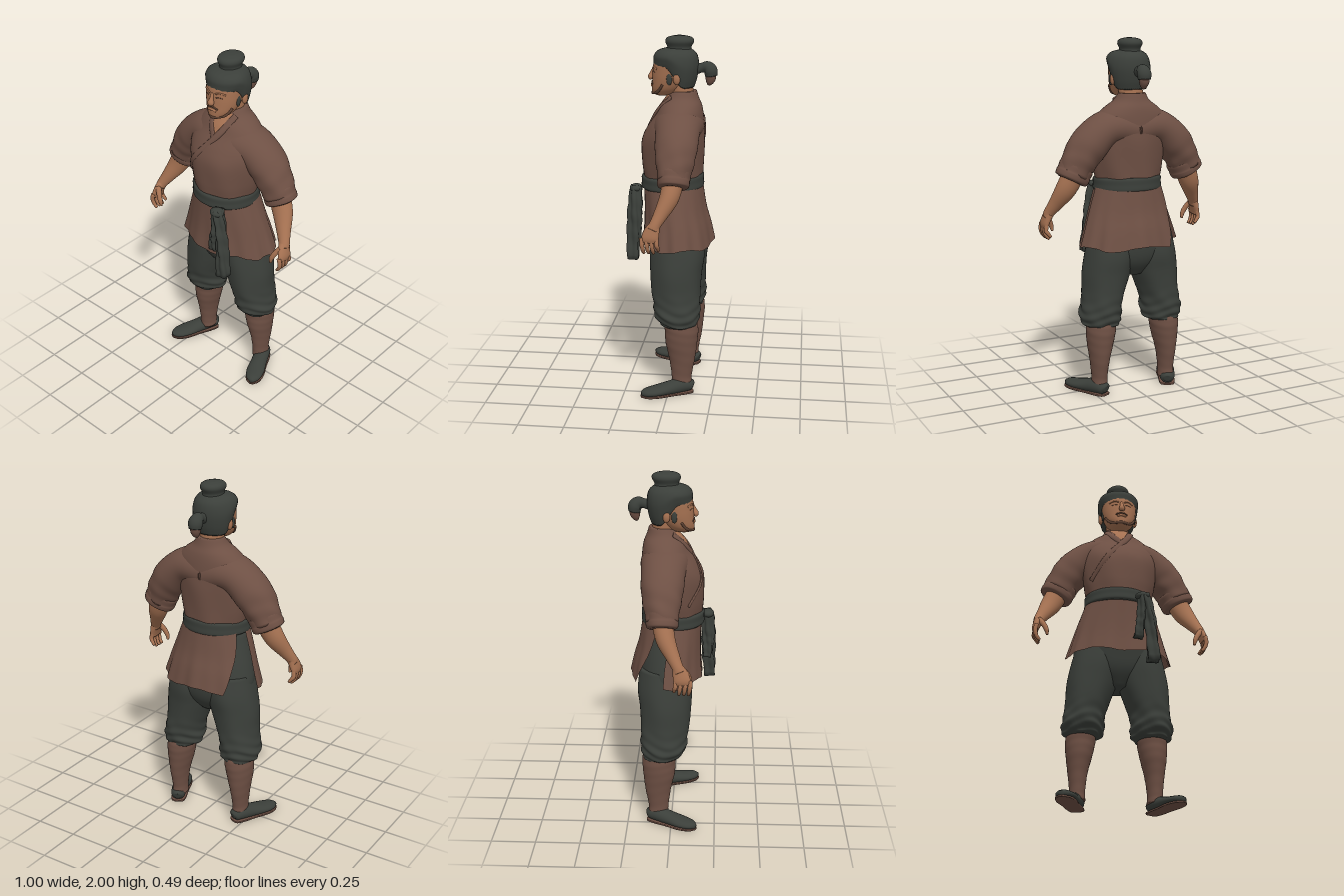
import * as THREE from 'three';

const paint = (name, color, side = THREE.FrontSide) => {
  const m = new THREE.MeshStandardMaterial({ color, side });
  m.name = name;
  return m;
};
const V = (x, y, z) => new THREE.Vector3(x, y, z);
const step = THREE.MathUtils.smoothstep;

// Smooth skin over elliptical sections [x, y, z, radiusA, radiusB].
// flat: rings stay horizontal (sections listed upward, a = 3PI/2 is the front).
function loft(sections, o = {}) {
  const { seg = 32, flat = false, ref = V(0, 0, 1), fold, move, arc, steps = 6 } = o;
  const path = new THREE.CatmullRomCurve3(sections.map(s => V(s[0], s[1], s[2])), false, 'catmullrom', 0.5);
  const size = new THREE.CatmullRomCurve3(sections.map(s => V(s[3], s[4], 0)), false, 'catmullrom', 0.5);
  const rows = (sections.length - 1) * steps, n = arc ? seg + 1 : seg;
  const pos = [], idx = [];
  for (let i = 0; i <= rows; i++) {
    const t = i / rows, c = path.getPoint(t), r = size.getPoint(t);
    const T = flat ? V(0, 1, 0) : path.getTangent(t);
    const u = T.clone().cross(ref).normalize(), v = T.clone().cross(u);
    const [a0, a1] = arc ? arc(t) : [0, Math.PI * 2];
    for (let j = 0; j < n; j++) {
      const a = a0 + (a1 - a0) * j / seg, k = 1 + (fold ? fold(a, t) : 0);
      const p = c.clone().addScaledVector(u, r.x * k * Math.cos(a)).addScaledVector(v, r.y * k * Math.sin(a));
      if (move) move(p, a, t);
      pos.push(p.x, p.y, p.z);
    }
  }
  for (let i = 0; i < rows; i++) for (let j = 0; j < seg; j++) {
    const a = i * n + j, b = i * n + (j + 1) % n;
    idx.push(a, b, a + n, b, b + n, a + n);
  }
  // End caps
  if (!arc) for (const i of [0, rows]) {
    const c = V(0, 0, 0), id = pos.length / 3;
    for (let j = 0; j < n; j++) c.add(V(...pos.slice((i * n + j) * 3, (i * n + j) * 3 + 3)));
    c.divideScalar(n);
    pos.push(c.x, c.y, c.z);
    for (let j = 0; j < n; j++) {
      const a = i * n + j, b = i * n + (j + 1) % n;
      i ? idx.push(a, b, id) : idx.push(b, a, id);
    }
  }
  const g = new THREE.BufferGeometry();
  g.setAttribute('position', new THREE.Float32BufferAttribute(pos, 3));
  g.setIndex(idx);
  g.computeVertexNormals();
  return g;
}

// Front z of an upward stack of flat sections
function frontZ(S, x, y) {
  let i = 0;
  while (i < S.length - 2 && S[i + 1][1] < y) i++;
  const k = (y - S[i][1]) / (S[i + 1][1] - S[i][1]);
  const m = c => S[i][c] + (S[i + 1][c] - S[i][c]) * k;
  return m(2) + m(4) * Math.sqrt(Math.max(0, 1 - (x / m(3)) ** 2));
}

export function createModel() {
  const model = new THREE.Group();
  const skin = paint('skin', 0xa67252);
  const brown = paint('brown cloth', 0x6e5044, THREE.DoubleSide);
  const dark = paint('dark cloth and hair', 0x3b3f3a);
  const beardMat = paint('beard', 0x5e4233);
  const add = (name, geo, mat, parent = model) => {
    const m = new THREE.Mesh(geo, mat);
    m.name = name;
    parent.add(m);
    return m;
  };
  const ball = (name, mat, x, y, z, sx, sy, sz) => {
    const m = add(name, new THREE.SphereGeometry(1, 20, 14), mat);
    m.position.set(x, y, z);
    m.scale.set(sx, sy, sz);
  };
  const ribbon = (S, pts, w, d) =>
    loft(pts.map(([x, y]) => [x, y, frontZ(S, x, y), w, d]), { seg: 12 });

  // Jacket body
  const torso = [[0, 1.17, 0, .185, .163], [0, 1.22, 0, .187, .166], [0, 1.3, .003, .203, .172], [0, 1.42, 0, .218, .175],
    [0, 1.5, -.015, .222, .157], [0, 1.57, -.037, .205, .13], [0, 1.62, -.045, .157, .113],
    [0, 1.66, -.052, .102, .09], [0, 1.7, -.06, .076, .07]];
  add('jacketBody', loft(torso, { seg: 56, flat: true,
    fold: (a, t) => .014 * Math.sin(7 * a + 9 * t) * step(t, 0, .15) * (1 - step(t, .3, .6)) }), brown);
  add('collarOverlap', ribbon(torso, [[.07, 1.67], [.045, 1.61], [0, 1.54], [-.09, 1.42], [-.17, 1.29]], .018, .008), brown);
  add('collarUnder', ribbon(torso, [[-.07, 1.67], [-.045, 1.61], [0, 1.55]], .018, .008), brown);

  // Open chest between the collars
  const chest = new THREE.PlaneGeometry(1, 1, 8, 12), cp = chest.attributes.position;
  for (let i = 0; i < cp.count; i++) {
    const k = cp.getY(i) + .5, x = cp.getX(i) * .115 * k, y = 1.555 + .125 * k;
    cp.setXYZ(i, x, y, frontZ(torso, x, y) + .006);
  }
  chest.computeVertexNormals();
  add('chest', chest, skin);

  // Jacket skirt: front and back panels, open slit on the right hip
  const skirt = k => [[0, 1.19, 0, .188, .163], [0, 1.05, -.012, .235, .172], [0, .95, -.024, .266, .186], [0, .85, -.03, .296, .2]]
    .reverse().map(([x, y, z, a, b]) => [x, y, z, a * k, b * k]);
  const drape = { flat: true, seg: 48, fold: (a, t) => (1 - t) * (.022 * Math.sin(9 * a) + .014 * Math.sin(17 * a + 1)),
    move: (p, a, t) => { p.y += (1 - t) * .01 * Math.sin(5 * a); } };
  add('skirtFront', loft(skirt(1), { ...drape, arc: () => [Math.PI - .06, Math.PI * 2 + .1] }), brown);
  add('skirtBack', loft(skirt(1.02), { ...drape, arc: t => [-.02, Math.PI - .98 + .55 * t] }), brown);

  // Belt, knot and hanging sash ends
  add('belt', loft([[0, 1.157, 0, .188, .168], [0, 1.168, .002, .197, .176], [0, 1.195, .002, .196, .175], [0, 1.222, .002, .196, .175],
    [0, 1.235, 0, .186, .166]], { flat: true, seg: 48, move: p => { p.y -= .03 * p.z; } }), dark);
  ball('beltKnot', dark, .105, 1.165, .196, .042, .024, .036);
  const crumple = (a, t) => .2 * Math.sin(4 * a + 5 * t) + .08 * Math.sin(26 * t + a);
  add('sashShort', loft([[.105, 1.18, .195, .025, .03], [.1, 1.05, .2, .026, .032], [.087, .98, .2, .024, .028], [.08, .91, .195, .028, .024]],
    { fold: crumple }), dark);
  add('sashLong', loft([[.115, 1.18, .195, .025, .03], [.14, 1.05, .2, .03, .034], [.152, .92, .203, .032, .036], [.16, .77, .21, .037, .033]],
    { fold: crumple }), dark);

  // Trouser seat
  add('trouserSeat', loft([[0, .68, -.035, .07, .08], [0, .76, -.036, .2, .135], [0, .85, -.033, .25, .158],
    [0, .97, -.02, .235, .168], [0, 1.16, 0, .178, .157]], { flat: true, seg: 40 }), dark);

  for (const s of [1, -1]) {
    const side = s > 0 ? 'left' : 'right';
    const mir = pts => pts.map(([x, ...r]) => [x * s, ...r]);
    const limb = (name, pts, mat, o) => add(side + name, loft(mir(pts), o), mat);

    // Baggy trouser leg gathered below the knee
    limb('TrouserLeg', [[.195, .395, -.06, .08, .092], [.191, .415, -.055, .11, .108], [.192, .46, -.044, .118, .128],
      [.185, .52, -.042, .114, .133], [.168, .6, -.035, .122, .139], [.148, .7, -.034, .137, .145],
      [.13, .8, -.038, .138, .152], [.12, .92, -.038, .12, .14]], dark, { flat: true, seg: 44, steps: 8,
      fold: (a, t) => {
        const low = 1 - step(t, .3, .6), end = step(t, 0, .1);
        return low * end * (.03 * Math.sin(44 * t + 3 * Math.sin(a * 2 + 1)) + .025 * Math.sin(6 * a + 14 * t)) + .014 * Math.sin(6 * a + 4 * t);
      } });

    // Wrapped shin
    limb('LegWrap', [[.214, .045, -.075, .046, .058], [.213, .1, -.073, .043, .057], [.212, .2, -.075, .054, .073],
      [.206, .3, -.07, .073, .09], [.2, .38, -.07, .083, .096], [.195, .44, -.06, .08, .095]], brown,
      { flat: true, steps: 8, fold: (a, t) => .007 * Math.sin(50 * t + 2 * Math.sin(a)) });

    // Shoe, pointing outward
    const shoe = new THREE.Group();
    shoe.name = side + 'Shoe';
    shoe.position.set(.224 * s, 0, -.075);
    shoe.rotation.y = .43 * s;
    model.add(shoe);
    const last = [[0, .035, -.065, .018, .02], [0, .04, -.05, .038, .034], [0, .045, 0, .046, .042], [0, .036, .07, .047, .037],
      [0, .028, .15, .053, .027], [0, .024, .21, .04, .022], [0, .02, .24, .012, .012]];
    const o = { ref: V(0, 1, 0), seg: 28 };
    add('shoeUpper', loft(last, { ...o, move: p => { p.y = Math.max(p.y, .005); } }), dark, shoe);
    add('shoeSole', loft(last.map(([x, y, z, a, b]) => [x, .004, z * 1.01, a * 1.02, b]),
      { ...o, move: p => { p.y = THREE.MathUtils.clamp(p.y, 0, .009); } }), brown, shoe);

    // Shoulder yoke running into the sleeve, and rolled cuff
    limb('Sleeve', [[0, 1.5, -.033, .118, .142], [.1, 1.513, -.038, .104, .134], [.18, 1.492, -.043, .1, .121], [.26, 1.42, -.045, .106, .115],
      [.315, 1.34, -.043, .098, .1], [.352, 1.265, -.042, .088, .085]], brown,
      { seg: 40, fold: (a, t) => step(t, .5, .8) * (.022 * Math.sin(30 * t + 3 * Math.sin(a)) + .022 * Math.sin(5 * a + 8 * t)) });
    limb('Cuff', [[.325, 1.315, -.042, .088, .082], [.331, 1.303, -.042, .097, .088], [.345, 1.275, -.042, .095, .086],
      [.352, 1.261, -.042, .097, .088], [.362, 1.24, -.042, .093, .084], [.366, 1.232, -.042, .075, .068]], brown,
      { fold: a => .02 * Math.sin(4 * a) });

    // Forearm and hand
    limb('Forearm', [[.345, 1.27, -.042, .062, .058], [.388, 1.18, -.022, .058, .052], [.43, 1.1, .018, .041, .038],
      [.457, 1.05, .045, .031, .031], [.466, 1.025, .056, .027, .036]], skin);
    limb('Palm', [[.458, 1.05, .045, .028, .03], [.468, 1.02, .058, .024, .041], [.478, .985, .068, .02, .046], [.479, .96, .07, .014, .043]], skin);
    for (let f = 0; f < 4; f++) {
      const z = .033 + f * .026, d = f === 0 ? .015 : 0;
      limb('Finger' + (f + 1), [[.478, .985, z + .002, .012, .012], [.484, .95, z, .012, .012], [.476, .92 + d, z - .004, .011, .011],
        [.458, .897 + d, z - .008, .008, .008]], skin, { seg: 12, steps: 4 });
    }
    limb('Thumb', [[.462, 1.03, .08, .017, .018], [.438, .995, .1, .015, .015], [.422, .96, .108, .013, .013], [.416, .93, .106, .007, .007]],
      skin, { seg: 14 });
  }

  // Neck and head
  add('neck', loft([[0, 1.62, -.05, .066, .062], [0, 1.7, -.045, .068, .066], [0, 1.78, -.025, .07, .075]], { flat: true }), skin);
  const head = [[0, 1.672, .06, .026, .034], [0, 1.685, .05, .052, .065], [0, 1.71, .035, .076, .083], [0, 1.75, .018, .092, .098],
    [0, 1.8, .006, .1, .108], [0, 1.86, -.004, .102, .11], [0, 1.91, -.012, .082, .088], [0, 1.925, -.015, .05, .05]];
  add('head', loft(head, { flat: true, seg: 40 }), skin);
  add('nose', loft([[0, 1.825, .104, .009, .008], [0, 1.795, .116, .011, .013], [0, 1.772, .124, .018, .017], [0, 1.76, .118, .013, .01]], { seg: 16 }), skin);
  add('lips', ribbon(head, [[-.026, 1.727], [0, 1.731], [.026, 1.727]], .007, .008), skin);
  add('moustache', ribbon(head, [[-.034, 1.736], [-.018, 1.744], [0, 1.747], [.018, 1.744], [.034, 1.736]], .0045, .005), beardMat);
  add('chinBeard', ribbon(head, [[-.084, 1.74], [-.072, 1.715], [-.05, 1.694], [0, 1.685], [.05, 1.694], [.072, 1.715], [.084, 1.74]], .009, .007), beardMat);
  for (const s of [1, -1]) {
    add('brow', ribbon(head, [[.016 * s, 1.822], [.04 * s, 1.831], [.068 * s, 1.823]], .005, .006), skin);
    add('eye', ribbon(head, [[.024 * s, 1.804], [.04 * s, 1.806], [.056 * s, 1.803]], .002, .002), beardMat);
    ball('ear', skin, .103 * s, 1.775, -.03, .014, .032, .02);
    ball('sideburn', dark, .094 * s, 1.775, .012, .009, .036, .016);
  }

  // Hair: hairline high over the brow, low at the nape
  add('hair', loft([[0, 1.72, -.004, .104, .112], [0, 1.77, -.012, .115, .12], [0, 1.835, -.017, .121, .124],
    [0, 1.89, -.022, .107, .112], [0, 1.92, -.026, .08, .084], [0, 1.935, -.03, .045, .05]], { flat: true, seg: 56,
    fold: a => .006 * Math.sin(22 * a),
    move: (p, a) => {
      const low = 1.72 + .118 * step(-Math.sin(a), -.6, .4);
      p.y = low + (p.y - 1.72) * (1.935 - low) / .215;
    } }), dark);
  add('topKnot', loft([[0, 1.91, -.032, .062, .07], [0, 1.938, -.033, .056, .066], [0, 1.968, -.035, .067, .079],
    [0, 1.989, -.035, .058, .068], [0, 2, -.035, .025, .03]], { flat: true }), dark);

  // Ponytail with a brown underside
  const tail = { ref: V(1, 0, 0), seg: 24 };
  add('ponytail', loft([[0, 1.815, -.11, .035, .03], [0, 1.825, -.155, .026, .024], [0, 1.828, -.185, .034, .034], [0, 1.81, -.205, .038, .04],
    [0, 1.78, -.209, .033, .035]], tail), dark);
  add('ponytailTip', loft([[0, 1.785, -.207, .03, .03], [0, 1.765, -.205, .028, .027], [0, 1.745, -.2, .02, .02], [0, 1.73, -.195, .008, .008]], tail), brown);

  return model;
}
